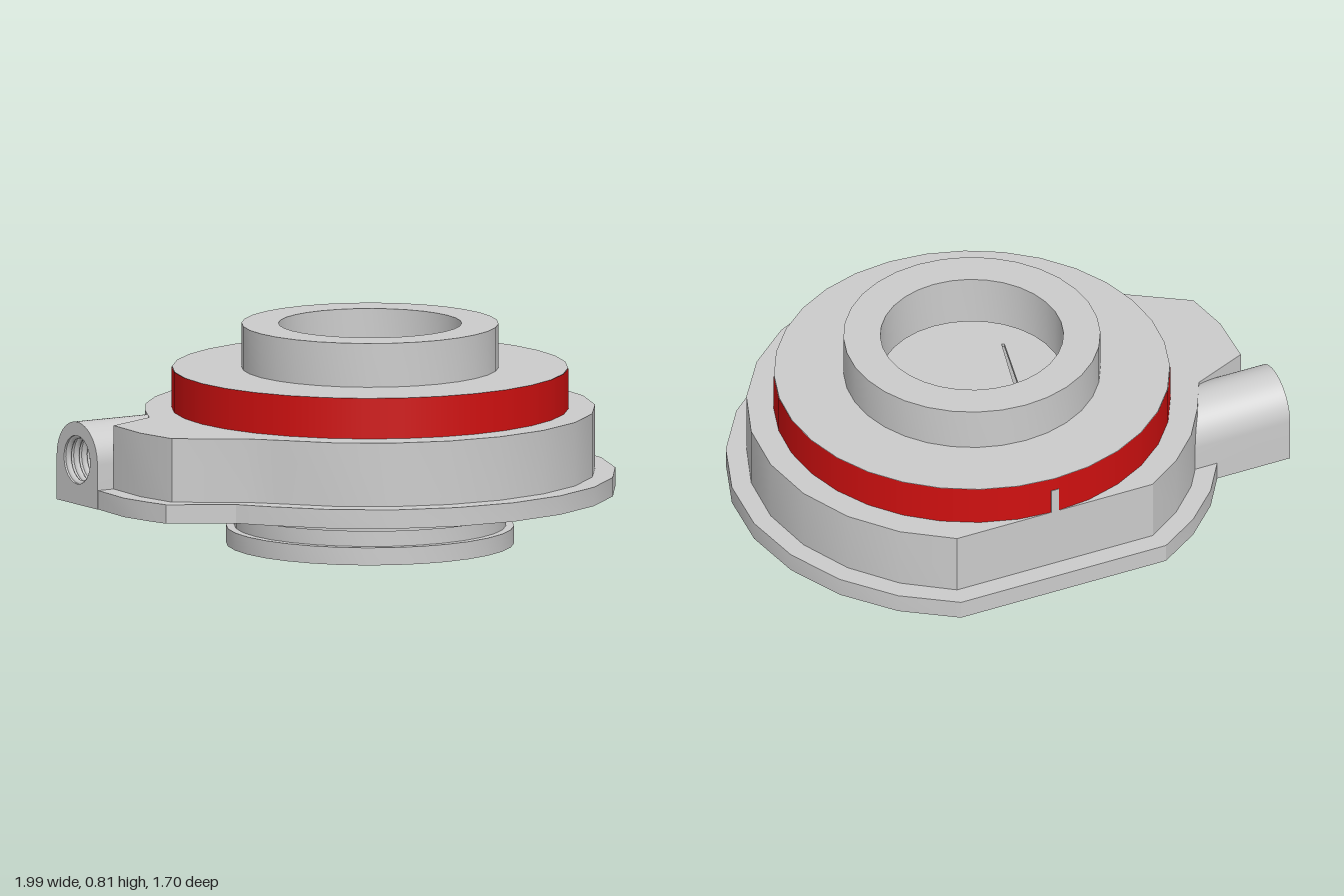
import * as THREE from 'three';
import { toCreasedNormals } from 'three/addons/utils/BufferGeometryUtils.js';

const CX = 0.095, CZ = -0.055; // main bore axis
const SEG = 32;
const rad = THREE.MathUtils.degToRad;
const grey = new THREE.MeshStandardMaterial({ color: 0xcccccc });
const red = new THREE.MeshStandardMaterial({ color: 0xd01010 });

function part(name, geometry, material = grey) {
  const mesh = new THREE.Mesh(geometry, material);
  mesh.name = name;
  return mesh;
}

function circlePath(x, z, r, n = SEG) {
  const pts = [];
  for (let i = 0; i < n; i++) {
    const a = (i / n) * Math.PI * 2;
    pts.push(new THREE.Vector2(x + r * Math.sin(a), z + r * Math.cos(a)));
  }
  return new THREE.Path(pts);
}

// Plan outline: faceted circle cut by a flat at the back, with a side lobe
function plateShape(r, flat, lobe) {
  const pts = [];
  const arc = (from, to, steps) => {
    for (let i = 0; i <= steps; i++) {
      const a = rad(from + ((to - from) * i) / steps);
      pts.push(new THREE.Vector2(CX + r * Math.cos(a), CZ + r * Math.sin(a)));
    }
  };
  const cut = THREE.MathUtils.radToDeg(Math.asin(flat / r));
  arc(-cut, 146, 14);
  lobe.forEach(([x, z]) => pts.push(new THREE.Vector2(x, z)));
  arc(207, 180 + cut, 3);
  return new THREE.Shape(pts);
}

// Extrude a plan (x, z) shape between two heights
function slab(shape, y0, y1) {
  const g = new THREE.ExtrudeGeometry(shape, { depth: y1 - y0, bevelEnabled: false });
  g.rotateX(Math.PI / 2);
  g.translate(0, y1, 0);
  return toCreasedNormals(g, 0.4);
}

export function createModel() {
  const model = new THREE.Group();
  model.name = 'flangedHousing';

  // Flange and body plates, with the centre opening and six bolt holes
  const plates = [
    ['flange', 0.9, 0.8, 0.195, 0.265,
      [[-0.73, 0.34], [-0.95, 0.21], [-0.975, 0.12], [-1, 0], [-0.985, -0.22], [-0.71, -0.3]]],
    ['body', 0.825, 0.725, 0.265, 0.5,
      [[-0.67, 0.32], [-0.9, 0.17], [-0.93, 0], [-0.92, -0.2], [-0.71, -0.29]]],
  ];
  for (const [name, r, flat, y0, y1, lobe] of plates) {
    const shape = plateShape(r, flat, lobe);
    shape.holes.push(circlePath(CX, CZ, 0.52));
    for (let k = 0; k < 6; k++) {
      const a = rad(60 * k - 6);
      shape.holes.push(circlePath(CX + 0.65 * Math.cos(a), CZ + 0.65 * Math.sin(a), 0.066, 20));
    }
    model.add(part(name, slab(shape, y0, y1)));
  }

  // Turned core: grooved neck, raised shoulder, top collar and stepped bore
  const profile = [
    [0.485, 0], [0.527, 0], [0.527, 0.065], [0.497, 0.065], [0.497, 0.125], [0.527, 0.125],
    [0.527, 0.5], [0.724, 0.5], [0.724, 0.65], [0.47, 0.65], [0.47, 0.812],
    [0.335, 0.812], [0.335, 0.62], [0.44, 0.62], [0.44, 0.54], [0.485, 0.53], [0.485, 0],
  ].map(([r, y]) => new THREE.Vector2(r, y));
  const core = part('core', toCreasedNormals(new THREE.LatheGeometry(profile, SEG), 0.5));
  core.position.set(CX, 0, CZ);
  model.add(core);

  // Coloured band around the shoulder, with a small tab at the back
  const band = part('colouredBand', new THREE.CylinderGeometry(0.726, 0.726, 0.15, SEG, 1, true), red);
  band.position.set(CX, 0.575, CZ);
  model.add(band);
  const tab = part('bandTab', new THREE.BoxGeometry(0.03, 0.1, 0.012));
  tab.position.set(CX, 0.55, -0.777);
  model.add(tab);

  // Plate across the bore with a narrow slit
  const disc = new THREE.Shape(circlePath(CX, CZ, 0.485).getPoints());
  disc.holes.push(new THREE.Path([[-0.012, -0.385], [0.015, -0.39], [-0.128, 0.17], [-0.137, 0.165]]
    .map(([x, z]) => new THREE.Vector2(x, z))));
  model.add(part('borePlate', slab(disc, 0.53, 0.545)));

  // Side port: square base with a rounded top and a threaded hole
  const PZ = -0.34, PY = 0.36, PR = 0.14;
  const section = new THREE.Shape();
  section.moveTo(PZ - PR, 0.195);
  section.lineTo(PZ + PR, 0.195);
  section.lineTo(PZ + PR, PY);
  section.absarc(PZ, PY, PR, 0, Math.PI, false);
  section.lineTo(PZ - PR, 0.195);
  section.holes.push(circlePath(PZ, PY, 0.09, 24));
  const portGeometry = new THREE.ExtrudeGeometry(section, { depth: 0.39, bevelEnabled: false, curveSegments: 16 });
  portGeometry.rotateY(-Math.PI / 2);
  portGeometry.translate(-0.6, 0, 0);
  const port = new THREE.Group();
  port.name = 'sidePort';
  port.add(part('portBody', toCreasedNormals(portGeometry, 0.5)));
  for (let i = 0; i < 8; i++) {
    const thread = part('portThread', new THREE.TorusGeometry(0.09, 0.012, 6, 24));
    thread.rotation.y = Math.PI / 2;
    thread.position.set(-0.972 + i * 0.034, PY, PZ);
    port.add(thread);
  }
  model.add(port);

  return model;
}
